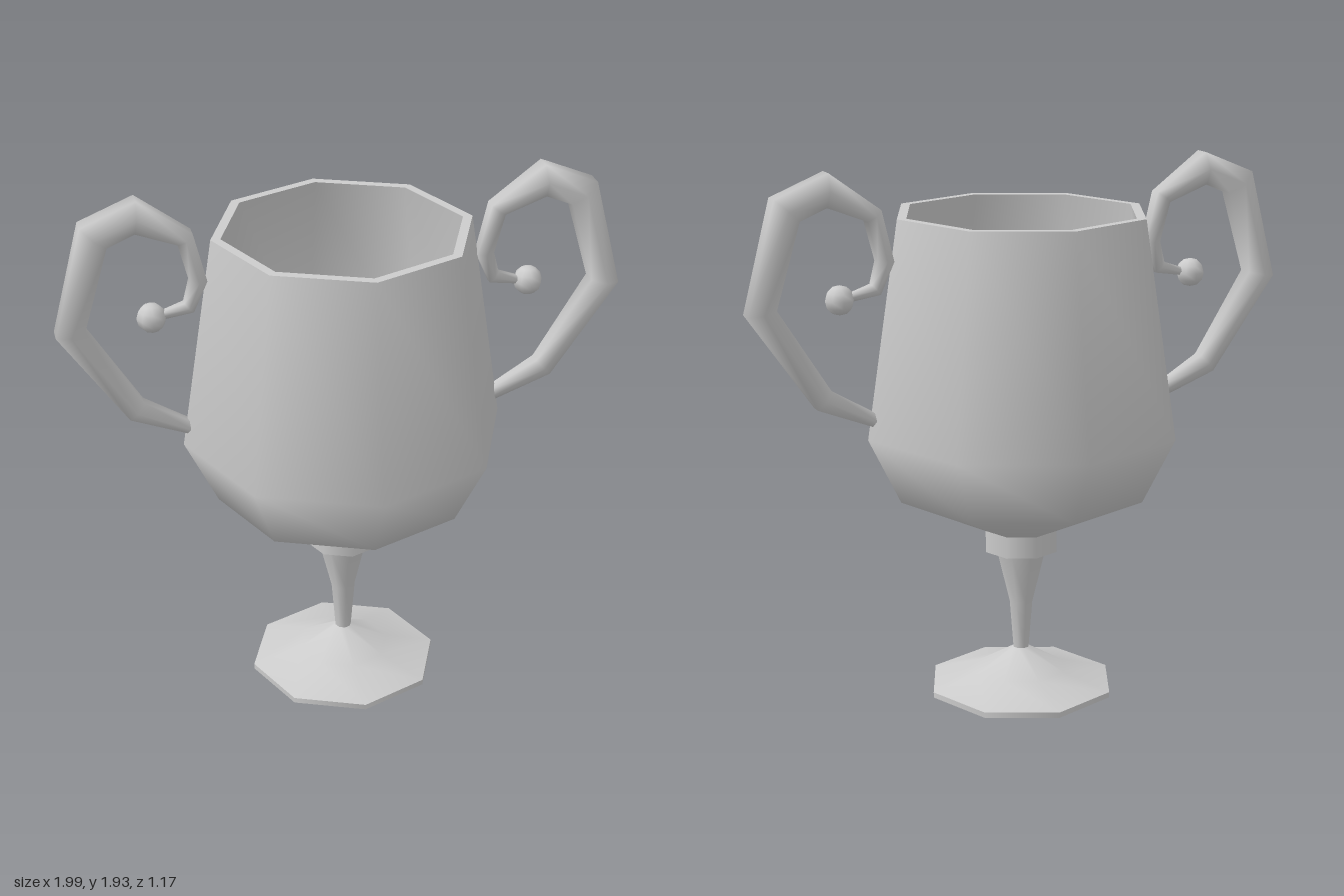
import * as THREE from 'three';

const SIDES = 8;
const material = new THREE.MeshStandardMaterial({ color: 0xcccccc });

// Smooth eight-sided turned part; profile rows are [radius, height], running upwards outside
function turned(name, profile) {
  const points = profile.map(([r, y]) => new THREE.Vector2(r, y));
  const mesh = new THREE.Mesh(new THREE.LatheGeometry(points, SIDES), material);
  mesh.name = name;
  return mesh;
}

// Handle centreline: [x, y, half width in plane, half width in z]
const HANDLE = [
  [0.54, 1.06, 0.022, 0.03],
  [0.735, 1.155, 0.04, 0.045],
  [0.947, 1.475, 0.051, 0.06],
  [0.853, 1.817, 0.058, 0.064],
  [0.71, 1.876, 0.058, 0.062],
  [0.545, 1.78, 0.031, 0.048],
  [0.505, 1.62, 0.03, 0.036],
  [0.54, 1.525, 0.024, 0.028],
  [0.645, 1.5, 0.013, 0.015],
];

// Six-sided tapering tube, mitred at each bend
function handleGeometry() {
  const n = 6, positions = [], index = [];
  const centres = HANDLE.map(([x, y]) => new THREE.Vector2(x, y));
  HANDLE.forEach(([x, y, wide, deep], i) => {
    const t = new THREE.Vector2();
    if (i > 0) t.add(centres[i].clone().sub(centres[i - 1]).normalize());
    if (i < HANDLE.length - 1) t.add(centres[i + 1].clone().sub(centres[i]).normalize());
    t.normalize();
    for (let j = 0; j < n; j++) {
      const a = (j / n) * Math.PI * 2;
      const s = (Math.sin(a) / Math.sin(Math.PI / 3)) * wide;
      positions.push(x - t.y * s, y + t.x * s, Math.cos(a) * deep);
      if (i < HANDLE.length - 1) {
        const p = i * n + j, q = i * n + ((j + 1) % n);
        index.push(p, p + n, q, q, p + n, q + n);
      }
    }
  });
  // End caps
  const last = (HANDLE.length - 1) * n;
  for (let j = 1; j < n - 1; j++) {
    index.push(0, j, j + 1, last, last + j + 1, last + j);
  }
  const geometry = new THREE.BufferGeometry();
  geometry.setAttribute('position', new THREE.Float32BufferAttribute(positions, 3));
  geometry.setIndex(index);
  geometry.computeVertexNormals();
  return geometry;
}

export function createModel() {
  const model = new THREE.Group();
  model.name = 'trophyCup';

  // Cup body, split where the edges are sharp
  const cup = new THREE.Group();
  cup.name = 'cup';
  cup.scale.x = 0.985;
  cup.add(
    turned('baseUnderside', [[0, 0], [0.35, 0]]),
    turned('baseEdge', [[0.35, 0], [0.35, 0.02]]),
    turned('baseTop', [[0.35, 0.02], [0.17, 0.07], [0.03, 0.15]]),
    turned('stem', [[0.03, 0.15], [0.045, 0.33], [0.095, 0.53]]),
    turned('collarUnderside', [[0.09, 0.53], [0.14, 0.53]]),
    turned('collar', [[0.14, 0.53], [0.14, 0.615]]),
    turned('bowlOutside', [[0.14, 0.61], [0.465, 0.755], [0.585, 0.995], [0.465, 1.76]]),
    turned('rim', [[0.465, 1.76], [0.43, 1.76]]),
    turned('bowlInside', [[0.43, 1.76], [0.55, 1.0], [0.435, 0.785], [0.13, 0.65], [0, 0.64]]),
  );
  model.add(cup);

  // Two scrolled handles, each ending in a small ball
  const tube = handleGeometry();
  const ball = new THREE.SphereGeometry(0.052, 8, 6);
  for (const [name, turn] of [['leftHandle', 0], ['rightHandle', Math.PI]]) {
    const handle = new THREE.Group();
    handle.name = name;
    const scroll = new THREE.Mesh(tube, material);
    scroll.name = 'scroll';
    const knob = new THREE.Mesh(ball, material);
    knob.name = 'scrollBall';
    knob.position.set(0.668, 1.497, 0);
    handle.add(scroll, knob);
    handle.rotation.y = turn;
    model.add(handle);
  }
  return model;
}
